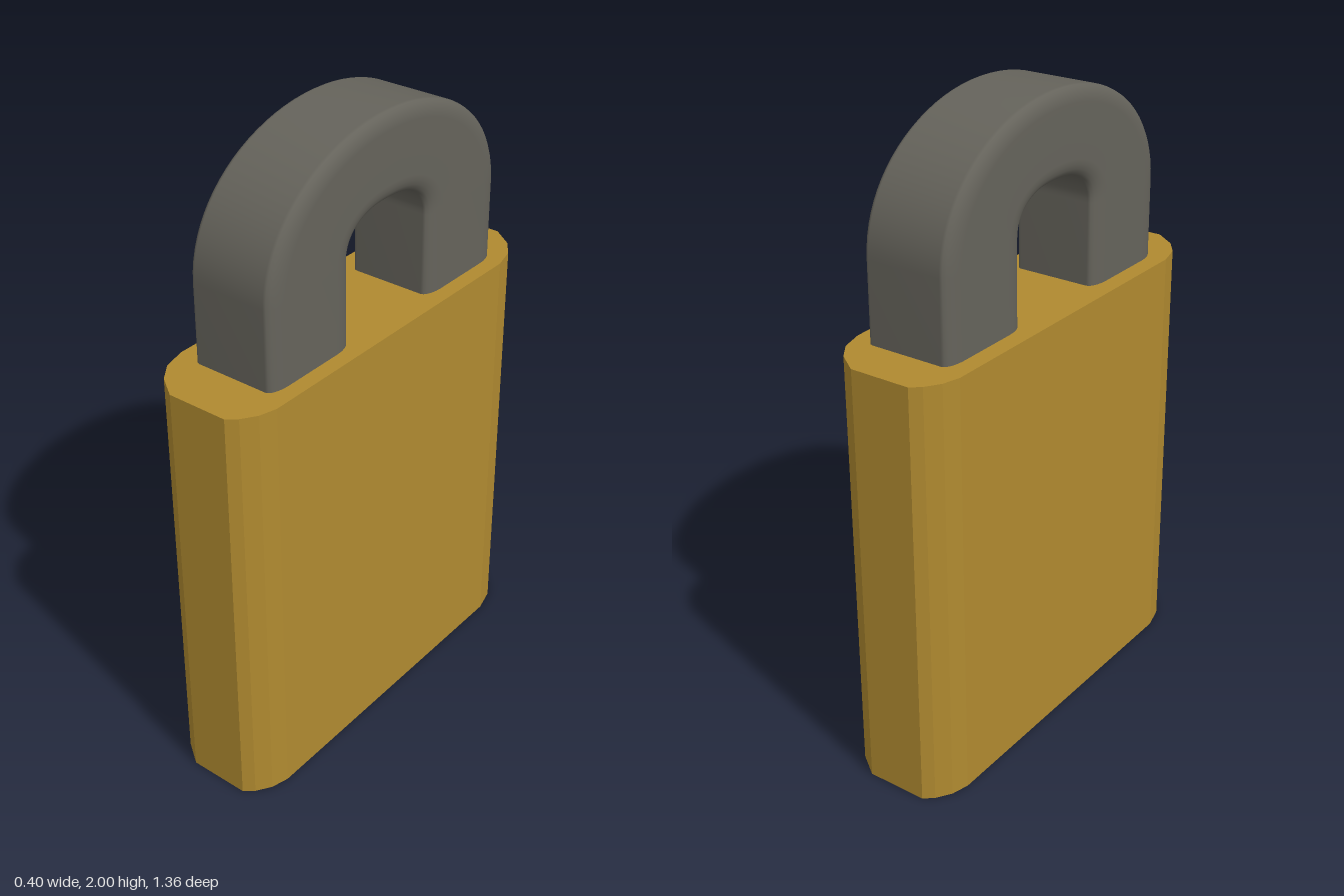
import * as THREE from 'three';

// Lock body: an upright prism whose outline repeats after a half turn
function makeBody() {
  const half = [[0.2, 0.555], [0.185, 0.61], [0.155, 0.655], [0.125, 0.68],
    [-0.07, 0.68], [-0.14, 0.63], [-0.18, 0.575], [-0.2, 0.5]];
  const outline = [...half, ...half.map(([x, z]) => [-x, -z])];
  const shape = new THREE.Shape(outline.map(([x, z]) => new THREE.Vector2(x, -z)));
  const geometry = new THREE.ExtrudeGeometry(shape, { depth: 1.36, bevelEnabled: false });
  geometry.rotateX(-Math.PI / 2);
  const mesh = new THREE.Mesh(geometry, new THREE.MeshStandardMaterial({ color: 0xb08a30 }));
  mesh.name = 'lockBody';
  return mesh;
}

// Rounded rectangular section: x across the bar, s from 0 (inner) to 1 (outer)
function barSection() {
  const points = [];
  const steps = 5, rx = 0.027, rs = 0.19;
  [[1, 1], [-1, 1], [-1, 0], [1, 0]].forEach(([sx, s], corner) => {
    for (let k = 0; k <= steps; k++) {
      const a = (corner + k / steps) * Math.PI / 2;
      const cx = sx * (0.147 - rx), cs = s ? 1 - rs : rs;
      points.push([cx + rx * Math.cos(a), cs + rs * Math.sin(a)]);
    }
  });
  return points;
}

// Shackle: the section lofted between an inner and an outer arch
function makeShackle() {
  const foot = 1.34, arcSteps = 40;
  const arch = (angle, halfWidth, spring, rise, power) => {
    const c = Math.cos(angle), s = Math.max(0, Math.sin(angle));
    return [Math.sign(c) * halfWidth * Math.abs(c) ** (2 / power), spring + rise * s ** (2 / power)];
  };
  const stations = [];
  for (let i = 0; i <= arcSteps; i++) {
    const a = Math.PI * i / arcSteps;
    stations.push({ inner: arch(a, 0.182, 1.62, 0.12, 2.4), outer: arch(a, 0.522, 1.61, 0.39, 2.05) });
  }
  const leg = side => ({ inner: [side * 0.182, foot], outer: [side * 0.522, foot] });
  stations.unshift(leg(1));
  stations.push(leg(-1));

  const section = barSection(), n = section.length;
  const positions = [], index = [];
  stations.forEach(({ inner, outer }, i) => {
    section.forEach(([x, s], j) => {
      positions.push(x + 0.003,
        THREE.MathUtils.lerp(inner[1], outer[1], s),
        THREE.MathUtils.lerp(inner[0], outer[0], s) - 0.008);
      if (i === stations.length - 1) return;
      const a = i * n + j, d = i * n + (j + 1) % n;
      index.push(a, a + n, d + n, a, d + n, d);
    });
  });
  const geometry = new THREE.BufferGeometry();
  geometry.setAttribute('position', new THREE.Float32BufferAttribute(positions, 3));
  geometry.setIndex(index);
  geometry.computeVertexNormals();
  const mesh = new THREE.Mesh(geometry, new THREE.MeshStandardMaterial({ color: 0x65635b }));
  mesh.name = 'shackle';
  return mesh;
}

export function createModel() {
  const group = new THREE.Group();
  group.name = 'padlock';
  group.add(makeBody(), makeShackle());
  return group;
}
